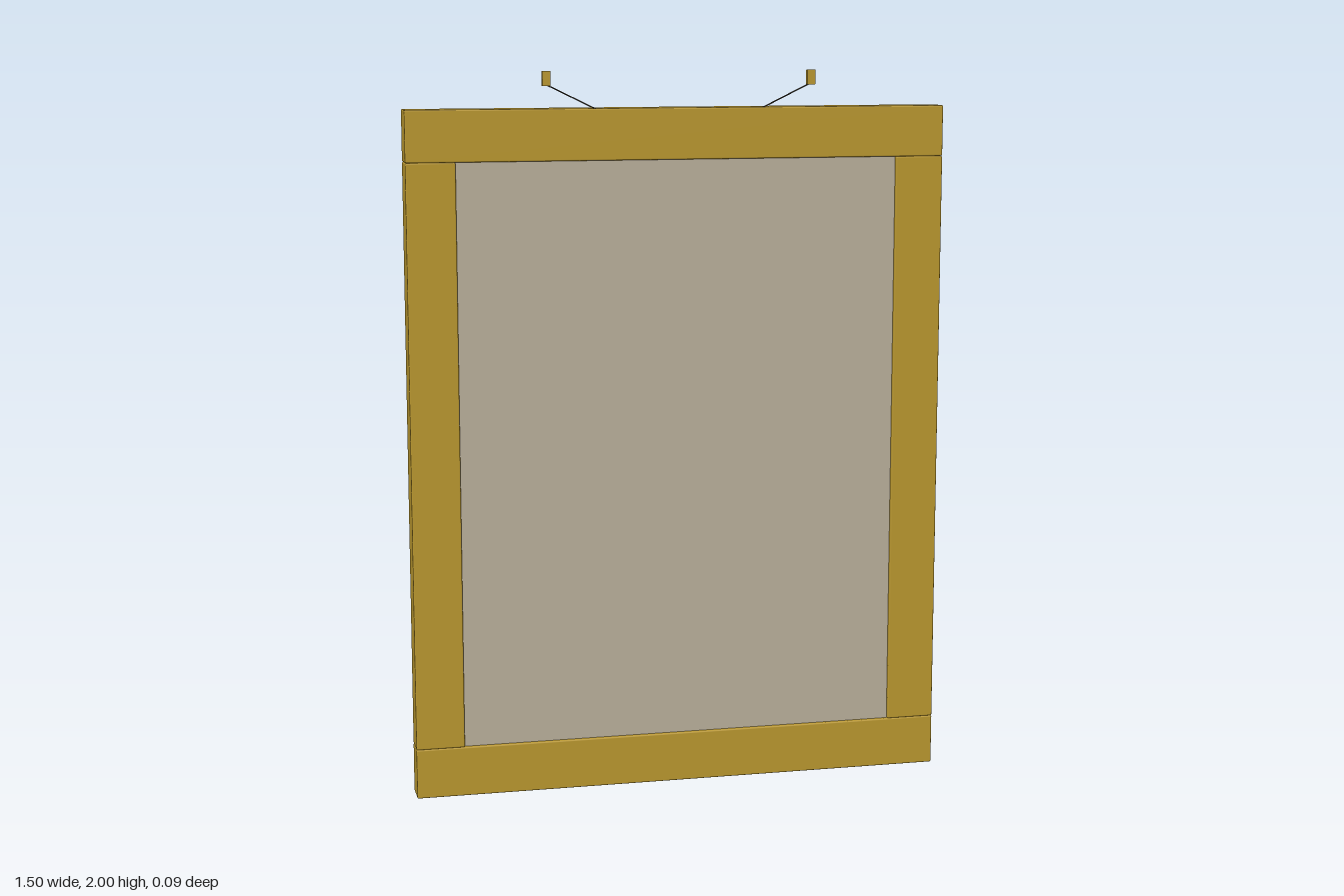
import * as THREE from 'three';
import { RoundedBoxGeometry } from 'three/addons/geometries/RoundedBoxGeometry.js';

const W = 1.5, H = 1.9, BAR = 0.14, STILE = 0.135;

export function createModel() {
  const group = new THREE.Group();
  const gold = new THREE.MeshStandardMaterial({ color: 0xb8962e });
  const paneMat = new THREE.MeshStandardMaterial({ color: 0xb8ae9a });
  const backMat = new THREE.MeshStandardMaterial({ color: 0x756a55 });
  const wireMat = new THREE.MeshStandardMaterial({ color: 0x3a3428 });

  const add = (name, geometry, material, x, y, z) => {
    const mesh = new THREE.Mesh(geometry, material);
    mesh.name = name;
    mesh.position.set(x, y, z);
    group.add(mesh);
    return mesh;
  };

  // A frame bar: softly rounded body with a slightly inset backing strip
  const bar = (name, w, h, x, y) => {
    add(name, new RoundedBoxGeometry(w, h, 0.076, 2, 0.004), gold, x, y, 0.005);
    add(name + 'Backing', new THREE.BoxGeometry(w - 0.01, h - 0.01, 0.012), gold, x, y, -0.037);
  };
  bar('bottomRail', W, BAR, 0, BAR / 2);
  bar('topRail', W, BAR, 0, H - BAR / 2);
  for (const [side, s] of [['left', 1], ['right', -1]]) {
    bar(side + 'Stile', STILE, H - 2 * BAR, s * (W - STILE) / 2, H / 2);
  }

  // Front pane filling the opening, with a smaller backing board behind it
  add('pane', new THREE.BoxGeometry(W - 2 * STILE, H - 2 * BAR, 0.033), paneMat, 0, H / 2, 0.0165);
  add('backingBoard', new THREE.BoxGeometry(1.15, 1.54, 0.018), backMat, 0, H / 2, -0.008);

  // Hanging hooks and their slanted wires
  for (const [side, s] of [['left', 1], ['right', -1]]) {
    add(side + 'Hook', new THREE.BoxGeometry(0.022, 0.04, 0.014), gold, s * 0.368, 1.98, 0.035);
    const wire = new THREE.LineCurve3(
      new THREE.Vector3(s * 0.368, 1.964, 0.034),
      new THREE.Vector3(s * 0.228, 1.896, 0.034));
    add(side + 'Wire', new THREE.TubeGeometry(wire, 1, 0.002, 6), wireMat, 0, 0, 0);
  }
  return group;
}
